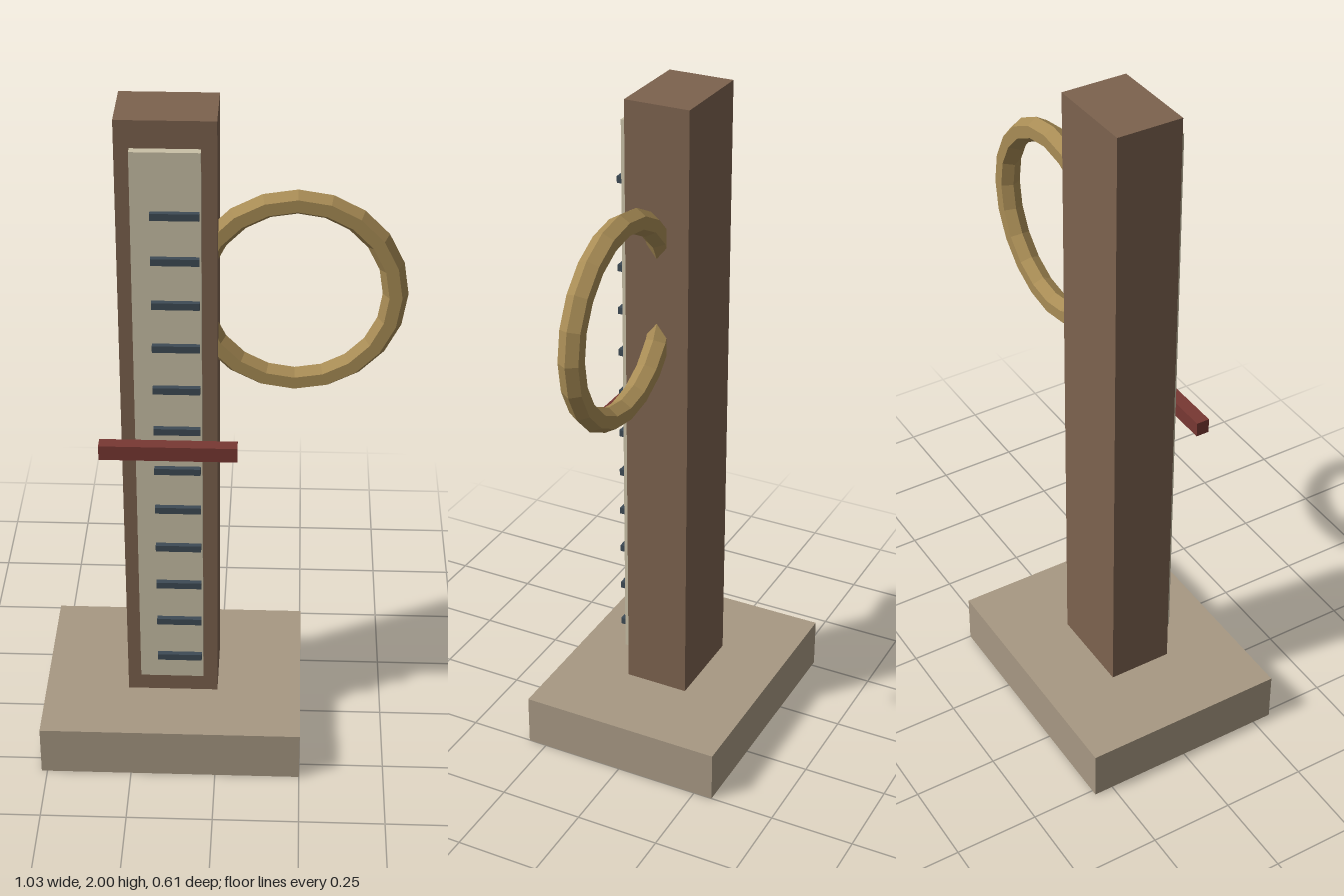
import * as THREE from 'three';

function material(name, color, flatShading = false) {
  const m = new THREE.MeshStandardMaterial({ color, flatShading });
  m.name = name;
  return m;
}

export function createModel() {
  const group = new THREE.Group();
  group.name = 'measuringPost';

  const stone = material('stone', 0xa79883);
  const wood = material('wood', 0x7c624e);
  const ivory = material('ivory', 0xc9c0a6);
  const slate = material('slate', 0x3e4a55);
  const red = material('red', 0x783833);
  const brass = material('brass', 0xa88c55, true);

  // Box given by its extents on each axis
  function box(name, mat, [x0, x1], [y0, y1], [z0, z1]) {
    const mesh = new THREE.Mesh(new THREE.BoxGeometry(x1 - x0, y1 - y0, z1 - z0), mat);
    mesh.position.set((x0 + x1) / 2, (y0 + y1) / 2, (z0 + z1) / 2);
    mesh.name = name;
    group.add(mesh);
  }

  // Base, post and scale panel
  box('base', stone, [-0.517, 0.25], [0, 0.154], [-0.307, 0.307]);
  box('post', wood, [-0.268, 0], [0.154, 2], [-0.096, 0.096]);
  box('scalePanel', ivory, [-0.227, -0.041], [0.23, 1.926], [0.103, 0.128]);

  // Evenly spaced scale marks
  for (let i = 0; i < 12; i++) {
    const y = 0.311 + i * 0.1309;
    box('scaleMark' + (i + 1), slate, [-0.175, -0.045], [y - 0.01, y + 0.01], [0.128, 0.144]);
  }

  // Sliding pointer across the scale
  box('pointer', red, [-0.327, 0.058], [1.02, 1.064], [0.133, 0.172]);

  // Ring set into the left side of the post
  const ring = new THREE.Mesh(new THREE.TorusGeometry(0.27, 0.035, 6, 20), brass);
  ring.position.set(0.211, 1.465, 0);
  ring.name = 'ring';
  group.add(ring);

  return group;
}
